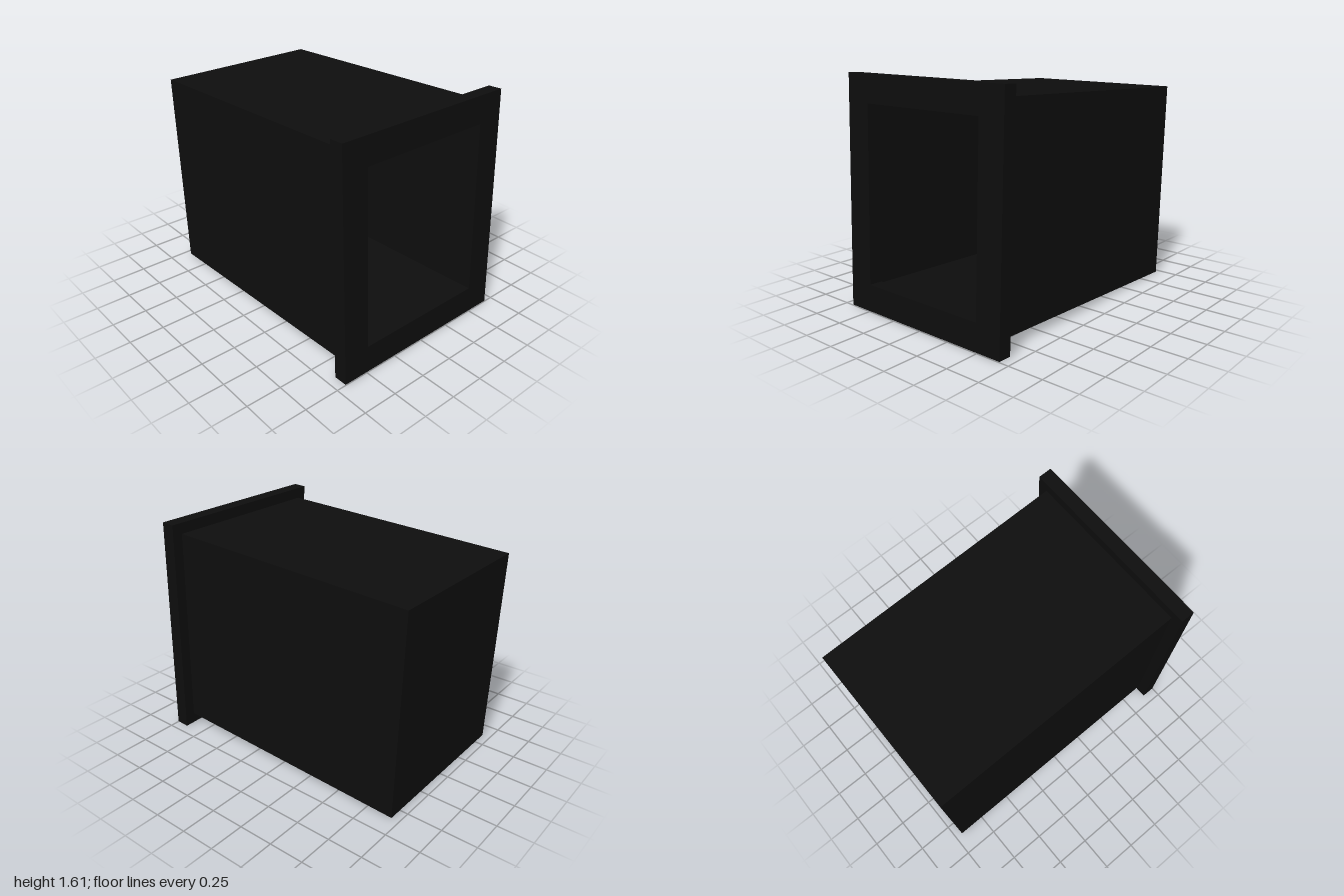
import * as THREE from 'three';

const black = new THREE.MeshStandardMaterial({ color: 0x0d0d0d });
black.name = 'black';

// Rectangular outline, given by half width and half height
function trace(path, w, h) {
  path.moveTo(-w, -h);
  path.lineTo(w, -h);
  path.lineTo(w, h);
  path.lineTo(-w, h);
  path.closePath();
  return path;
}

// Rectangular tube running along x from x0 to x1
function rectTube(name, outer, inner, x0, x1) {
  const shape = trace(new THREE.Shape(), ...outer);
  shape.holes.push(trace(new THREE.Path(), ...inner));
  const geometry = new THREE.ExtrudeGeometry(shape, { depth: x1 - x0, bevelEnabled: false });
  geometry.rotateY(Math.PI / 2).translate(x0, 0, 0);
  const mesh = new THREE.Mesh(geometry, black);
  mesh.name = name;
  return mesh;
}

export function createModel() {
  const group = new THREE.Group();
  group.name = 'hollowBox';

  // Everything leans back slightly about z
  const box = new THREE.Group();
  box.name = 'tiltedBox';
  box.position.set(0.92, 0.805, 0);
  box.rotation.z = 0.0379;
  group.add(box);

  const half = 0.0485, back = -1.894, wall = 0.095;

  // Rim around the opening, with a small lip over the cavity
  box.add(rectTube('rimFrame', [0.68, 0.803], [0.49, 0.613], -half, half));

  // Side walls, top and floor
  box.add(rectTube('bodyWalls', [0.605, 0.725], [0.605 - wall, 0.725 - wall], back + wall, -half));

  // Closed end
  const panel = new THREE.Mesh(new THREE.BoxGeometry(wall, 1.45, 1.21), black);
  panel.name = 'backPanel';
  panel.position.x = back + wall / 2;
  box.add(panel);

  return group;
}
